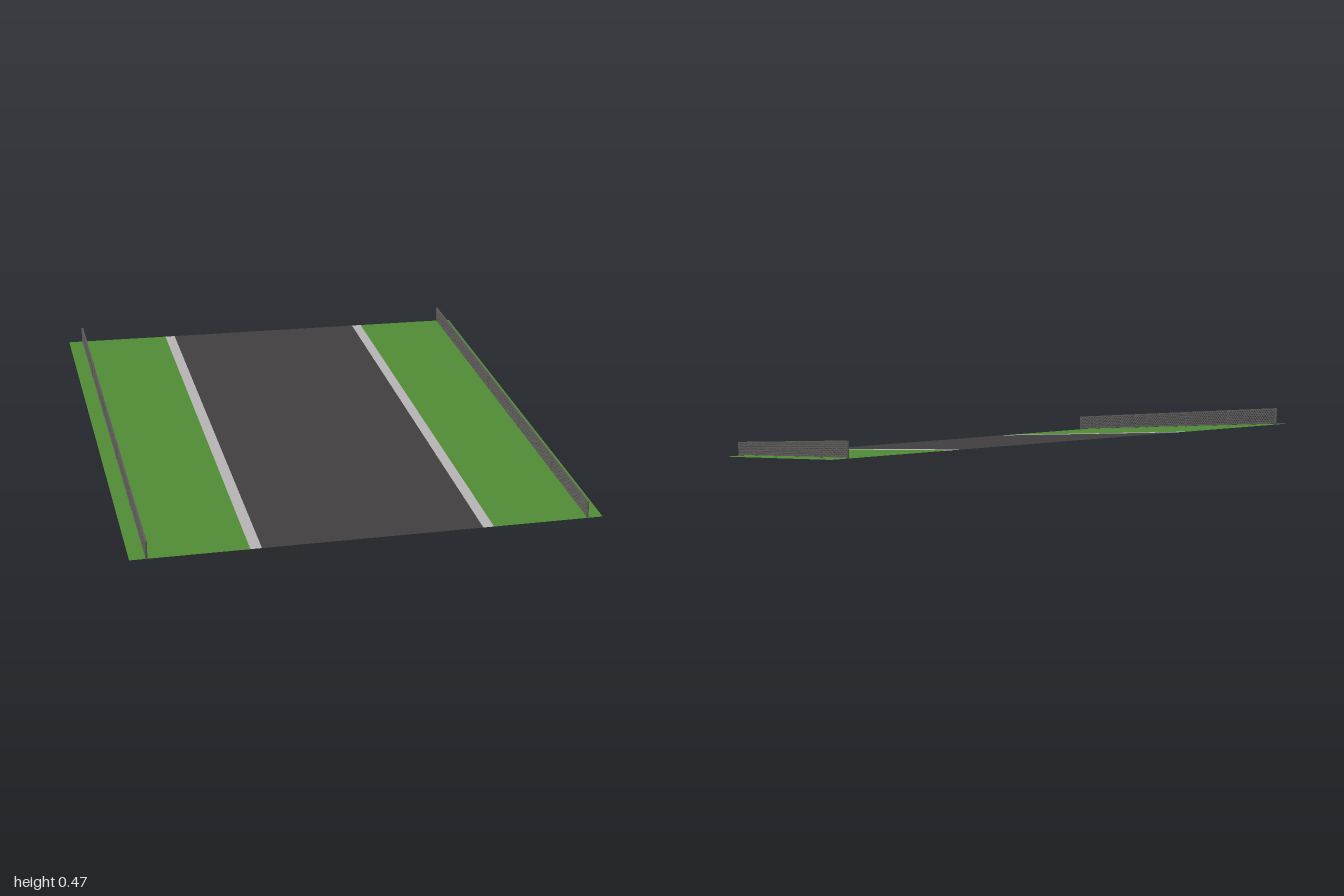
import * as THREE from 'three';
import { mergeGeometries } from 'three/addons/utils/BufferGeometryUtils.js';

// Shear that lifts everything along the slope: y = 0 at the front, 0.4 at the back
const slope = new THREE.Matrix4().set(
  1, 0, 0, 0,
  0, 1, -0.2, 0.2,
  0, 0, 1, 0,
  0, 0, 0, 1);

const material = (color) => new THREE.MeshStandardMaterial({ color, side: THREE.DoubleSide });
const grass = material(0x4f8a36);
const asphalt = material(0x403e3f);
const kerb = material(0xb4b2b2);
const metal = material(0x5c5858);

// Flat strip running the full length of the ramp
function strip(name, x0, x1, mat) {
  const g = new THREE.PlaneGeometry(x1 - x0, 2).rotateX(-Math.PI / 2);
  g.translate((x0 + x1) / 2, 0, 0).applyMatrix4(slope);
  g.computeVertexNormals();
  const mesh = new THREE.Mesh(g, mat);
  mesh.name = name;
  return mesh;
}

// Thin bar between two points in the fence plane
function bar(z0, y0, z1, y1, thick, depth) {
  const dz = z1 - z0, dy = y1 - y0;
  const g = new THREE.BoxGeometry(depth, thick, Math.hypot(dz, dy));
  g.rotateX(-Math.atan2(dy, dz));
  return g.translate(0, (y0 + y1) / 2, (z0 + z1) / 2);
}

function meshOf(name, parts) {
  const g = mergeGeometries(parts).applyMatrix4(slope);
  g.computeVertexNormals();
  const mesh = new THREE.Mesh(g, metal);
  mesh.name = name;
  return mesh;
}

// Chain-link fence: posts, rails and crossed diagonal wires
function fence(name, x) {
  const group = new THREE.Group();
  group.name = name;
  const low = 0.006, high = 0.068, run = 0.08, pitch = 0.02;

  const posts = [];
  for (let i = 0; i <= 5; i++) {
    const z = Math.max(-0.995, Math.min(0.995, -1 + i * 0.4));
    const g = new THREE.CylinderGeometry(0.005, 0.005, 0.07, 8);
    posts.push(g.translate(0, 0.035, z));
  }
  group.add(meshOf('fencePosts', posts));

  group.add(meshOf('fenceRails', [low, high].map((y) => bar(-1, y, 1, y, 0.004, 0.007))));

  const wires = [];
  for (let z = -1 - run + pitch; z < 1 - 1e-6; z += pitch) {
    // clip each wire to the fence ends
    const a = Math.max(-1, z), b = Math.min(1, z + run);
    const h = (t) => low + (high - low) * (t - z) / run;
    wires.push(bar(a, h(a), b, h(b), 0.004, 0.003));
    wires.push(bar(a, low + high - h(a), b, low + high - h(b), 0.004, 0.003));
  }
  group.add(meshOf('fenceWires', wires));

  group.position.x = x;
  return group;
}

export function createModel() {
  const model = new THREE.Group();
  model.name = 'slopedRoad';
  model.add(strip('road', -0.468, 0.468, asphalt));
  for (const [side, s] of [['left', 1], ['right', -1]]) {
    const span = (a, b) => (s > 0 ? [a, b] : [-b, -a]);
    model.add(strip(side + 'Kerb', ...span(0.468, 0.515), kerb));
    model.add(strip(side + 'Verge', ...span(0.515, 1), grass));
    model.add(fence(side + 'Fence', s * 0.932));
  }
  return model;
}
